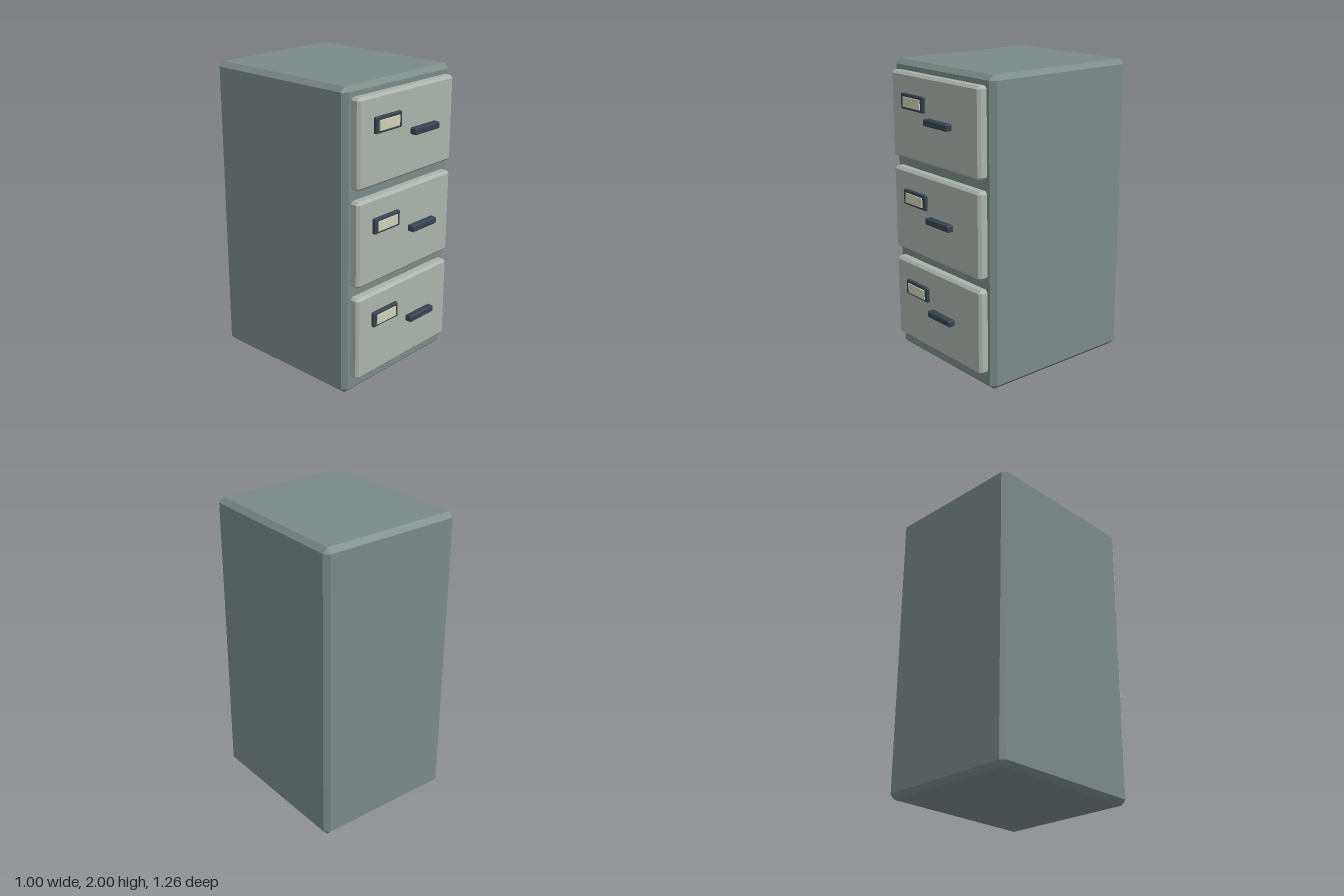
import * as THREE from 'three';
import { ConvexGeometry } from 'three/addons/geometries/ConvexGeometry.js';

const paint = (color) => new THREE.MeshStandardMaterial({ color, flatShading: true });

// Box with flat chamfers on every edge, given by its min and max corners
function chamferBox(name, min, max, c, material) {
  const half = max.map((v, i) => (v - min[i]) / 2);
  const points = [];
  for (const sx of [-1, 1]) for (const sy of [-1, 1]) for (const sz of [-1, 1]) {
    const s = [sx, sy, sz];
    // Each corner becomes a small triangle, one point per adjoining face
    for (let face = 0; face < 3; face++) {
      points.push(new THREE.Vector3(...s.map((v, i) => v * (half[i] - (i === face ? 0 : c)))));
    }
  }
  const mesh = new THREE.Mesh(new ConvexGeometry(points), material);
  mesh.name = name;
  mesh.position.set(...min.map((v, i) => (v + max[i]) / 2));
  return mesh;
}

export function createModel() {
  const model = new THREE.Group();
  model.name = 'filingCabinet';
  const steel = paint(0x7b8a88);
  const panel = paint(0xabb2ab);
  const dark = paint(0x36424f);
  const paper = paint(0xd0ceb6);

  // Cabinet shell
  model.add(chamferBox('cabinetBody', [-0.5, 0, -0.63], [0.5, 2, 0.5], 0.032, steel));

  // Three identical drawers
  [1.656, 1.024, 0.393].forEach((y, i) => {
    const drawer = new THREE.Group();
    drawer.name = `drawer${i + 1}`;
    drawer.position.y = y;
    drawer.add(
      chamferBox('drawerFront', [-0.447, -0.281, 0.46], [0.447, 0.281, 0.56], 0.017, panel),
      chamferBox('labelFrame', [-0.316, 0.05, 0.54], [-0.08, 0.151, 0.58], 0.005, dark),
      chamferBox('labelCard', [-0.288, 0.066, 0.56], [-0.108, 0.131, 0.587], 0.001, paper),
      chamferBox('handle', [-0.01, -0.009, 0.584], [0.224, 0.034, 0.632], 0.006, dark),
    );
    model.add(drawer);
  });
  return model;
}
